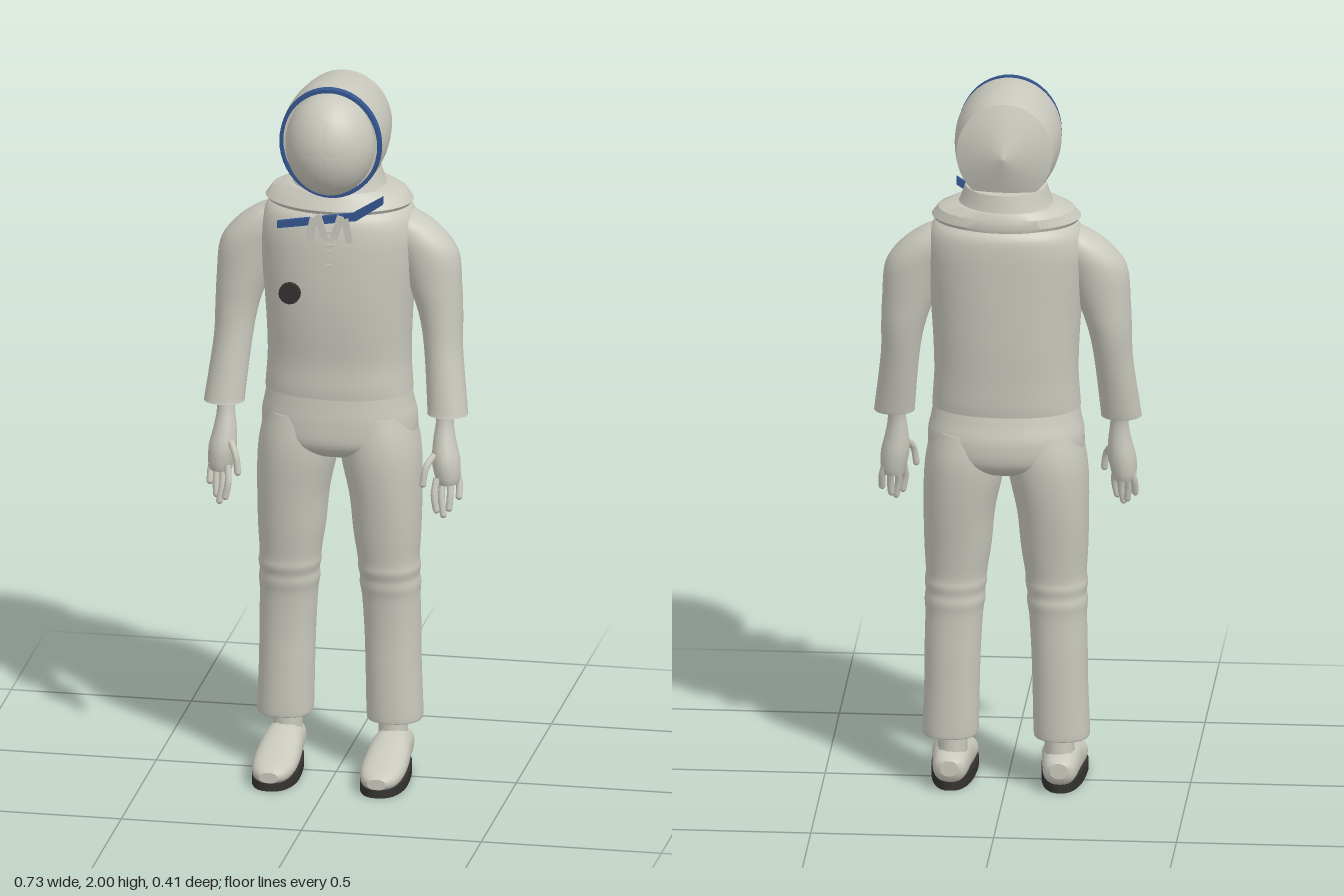
import * as THREE from 'three';
import { toCreasedNormals } from 'three/addons/utils/BufferGeometryUtils.js';

const suit = new THREE.MeshStandardMaterial({ color: 0xc9c8bd });
suit.name = 'suit fabric';
const blue = new THREE.MeshStandardMaterial({ color: 0x34568f });
blue.name = 'blue trim';
const dark = new THREE.MeshStandardMaterial({ color: 0x33322f });
dark.name = 'dark rubber';

// Catmull-Rom blend of four numbers
function blend(a, b, c, d, t) {
  const cubic = 3 * (b - c) + d - a;
  const square = 2 * a - 5 * b + 4 * c - d;
  return b + 0.5 * t * (c - a + t * (square + t * cubic));
}

// Smooth closed body through superellipse sections [y, cx, cz, rx, rz], lowest first
function loft(sections, { seg = 32, steps = 5, n = 2 } = {}) {
  const rows = [];
  const at = (i) => sections[Math.min(sections.length - 1, Math.max(0, i))];
  for (let i = 0; i < sections.length - 1; i++) {
    const [a, b, c, d] = [at(i - 1), at(i), at(i + 1), at(i + 2)];
    for (let k = 0; k < steps; k++) {
      rows.push(b.map((v, m) => blend(a[m], v, c[m], d[m], k / steps)));
    }
  }
  rows.push(at(sections.length - 1));
  const pos = [], index = [];
  const ring = ([y, cx, cz, rx, rz]) => {
    const start = pos.length / 3;
    for (let j = 0; j < seg; j++) {
      const c = Math.cos((j / seg) * 2 * Math.PI), s = Math.sin((j / seg) * 2 * Math.PI);
      pos.push(cx + rx * Math.sign(c) * Math.pow(Math.abs(c), 2 / n), y,
        cz + rz * Math.sign(s) * Math.pow(Math.abs(s), 2 / n));
    }
    return start;
  };
  const starts = rows.map(ring);
  for (let i = 0; i < rows.length - 1; i++) {
    for (let j = 0; j < seg; j++) {
      const k = (j + 1) % seg, p = starts[i], q = starts[i + 1];
      index.push(p + j, q + j, p + k, p + k, q + j, q + k);
    }
  }
  // flat end caps
  [rows[0], rows[rows.length - 1]].forEach((row, top) => {
    const s = ring(row), centre = pos.length / 3;
    pos.push(row[1], row[0], row[2]);
    for (let j = 0; j < seg; j++) {
      const k = (j + 1) % seg;
      index.push(centre, s + (top ? k : j), s + (top ? j : k));
    }
  });
  const g = new THREE.BufferGeometry();
  g.setAttribute('position', new THREE.Float32BufferAttribute(pos, 3));
  g.setIndex(index);
  g.computeVertexNormals();
  return g;
}

// Turned shape around the z axis from [radius, z] points
function turned(points, sx, sy = 1) {
  const g = new THREE.LatheGeometry(points.map(([r, z]) => new THREE.Vector2(r, z)), 48);
  return toCreasedNormals(g.rotateX(Math.PI / 2).scale(sx, sy, 1), 0.45);
}

export function createModel() {
  const model = new THREE.Group();
  const add = (name, geo, mat, parent = model) => {
    const m = new THREE.Mesh(geo, mat);
    m.name = name;
    parent.add(m);
    return m;
  };

  // Jacket and hips
  add('jacket', loft([
    [1.1, 0, -0.047, 0.203, 0.135], [1.13, 0, -0.048, 0.201, 0.138], [1.2, 0, -0.05, 0.197, 0.14],
    [1.3, 0, -0.048, 0.2, 0.149], [1.4, 0, -0.047, 0.207, 0.154], [1.5, 0, -0.049, 0.217, 0.155],
    [1.57, 0, -0.052, 0.218, 0.153], [1.62, 0, -0.055, 0.2, 0.144], [1.65, 0, -0.055, 0.16, 0.115],
  ], { seg: 48, n: 2.25 }), suit);
  add('hips', loft([
    [0.905, 0, -0.05, 0.04, 0.04], [0.925, 0, -0.052, 0.14, 0.1], [0.96, 0, -0.053, 0.205, 0.138],
    [1.02, 0, -0.054, 0.214, 0.143], [1.07, 0, -0.05, 0.205, 0.135], [1.11, 0, -0.047, 0.198, 0.128],
  ], { seg: 48, n: 2.25 }), suit);

  // Flared collar and neck
  add('collar', toCreasedNormals(loft([
    [1.635, 0, -0.051, 0.196, 0.138], [1.645, 0, -0.05, 0.204, 0.142], [1.67, 0, -0.056, 0.186, 0.134],
    [1.688, 0, -0.057, 0.145, 0.124],
  ], { seg: 48, steps: 1 }), 0.5), suit);
  add('neck', loft([[1.66, 0, -0.055, 0.15, 0.125], [1.69, 0, -0.056, 0.128, 0.118],
    [1.735, 0, -0.057, 0.112, 0.108]]), suit);

  // Helmet with pointed back, trim ring and domed visor
  const helmet = new THREE.Group();
  helmet.name = 'helmet';
  helmet.position.y = 1.842;
  model.add(helmet);
  add('helmetBack', turned([[0, -0.175], [0.142, -0.122]], 0.925), suit, helmet);
  add('helmetShell', turned([[0.142, -0.122], [0.149, -0.08], [0.155, -0.03], [0.157, 0.02],
    [0.153, 0.08], [0, 0.086]], 0.925), suit, helmet);
  add('helmetRing', turned([[0.146, 0.074], [0.158, 0.074], [0.156, 0.092], [0.146, 0.092],
    [0.146, 0.074]], 0.9), blue, helmet);
  const dome = [];
  for (let i = 0; i <= 14; i++) {
    const a = (i / 14) * Math.PI / 2;
    dome.push([Math.cos(a), 0.084 + 0.121 * Math.sin(a)]);
  }
  add('visor', turned(dome, 0.123, 0.146), suit, helmet);

  // Blue chest strap
  const strap = new THREE.Shape([[-0.145, 1.592], [0.075, 1.627], [0.148, 1.678], [0.148, 1.7],
    [0.065, 1.648], [-0.145, 1.612]].map(([x, y]) => new THREE.Vector2(x, y)));
  const strapGeo = new THREE.ExtrudeGeometry(strap, { depth: 0.012, bevelEnabled: false });
  add('strap', strapGeo.translate(0, 0, 0.089), blue);

  // Dark chest button
  const button = add('chestButton', new THREE.CylinderGeometry(0.03, 0.03, 0.014, 16), dark);
  button.position.set(-0.1, 1.425, 0.152);
  button.rotation.x = Math.PI / 2;

  // Zip teeth
  for (let i = 0; i < 6; i++) {
    add('zipTooth', new THREE.BoxGeometry(0.022 - i * 0.002, 0.008, 0.008), suit)
      .position.set(0, 1.59 - i * 0.019, 0.102 + i * 0.0008);
  }

  for (const s of [1, -1]) {
    const side = new THREE.Group();
    side.name = s > 0 ? 'leftSide' : 'rightSide';
    model.add(side);
    const limb = (name, sections, opts) =>
      add(name, loft(sections.map(([y, x, ...r]) => [y, s * x, ...r]), opts), suit, side);

    // Neck flaps
    for (const [x, y, tilt] of [[0.022, 1.605, -0.3], [0.05, 1.597, 0.2]]) {
      const flap = add('neckFlap', new THREE.BoxGeometry(0.02, 0.07, 0.009), suit, side);
      flap.position.set(s * x, y, 0.1);
      flap.rotation.z = s * tilt;
    }

    // Sleeve
    limb('sleeve', [
      [1.055, 0.31, 0.004, 0.056, 0.051], [1.08, 0.308, -0.002, 0.055, 0.052],
      [1.23, 0.292, -0.032, 0.053, 0.058], [1.32, 0.283, -0.044, 0.06, 0.064],
      [1.4, 0.268, -0.047, 0.072, 0.068], [1.5, 0.243, -0.05, 0.088, 0.072],
      [1.56, 0.205, -0.052, 0.085, 0.07], [1.6, 0.175, -0.053, 0.062, 0.058],
      [1.622, 0.16, -0.054, 0.025, 0.03],
    ]);

    // Hand with thumb and fingers
    limb('palm', [
      [0.865, 0.315, 0.028, 0.03, 0.036], [0.885, 0.315, 0.028, 0.035, 0.042],
      [0.93, 0.31, 0.026, 0.039, 0.045], [0.98, 0.305, 0.02, 0.032, 0.036],
      [1.03, 0.304, 0.012, 0.025, 0.027], [1.07, 0.307, 0.005, 0.027, 0.029],
    ], { seg: 16, steps: 3 });
    const digits = [
      ['thumb', [0.282, 0.95, 0.052], [0.264, 0.92, 0.078], [0.257, 0.875, 0.086]],
      ['finger', [0.29, 0.885, 0.058], [0.286, 0.84, 0.074], [0.293, 0.8, 0.078]],
      ['finger', [0.305, 0.88, 0.045], [0.304, 0.83, 0.062], [0.311, 0.785, 0.07]],
      ['finger', [0.322, 0.88, 0.028], [0.325, 0.835, 0.044], [0.323, 0.798, 0.052]],
      ['finger', [0.338, 0.89, 0.008], [0.345, 0.86, 0.014], [0.346, 0.825, 0.026]],
    ];
    for (const [name, ...pts] of digits) {
      const path = new THREE.CatmullRomCurve3(pts.map(([x, y, z]) => new THREE.Vector3(s * x, y, z)));
      add(name, new THREE.TubeGeometry(path, 8, 0.0095, 8), suit, side);
      add(name + 'Tip', new THREE.SphereGeometry(0.0095, 8, 6), suit, side).position.copy(path.getPoint(1));
    }

    // Trouser leg with knee folds
    limb('trouserLeg', [
      [0.155, 0.152, -0.058, 0.073, 0.074], [0.165, 0.152, -0.058, 0.077, 0.078],
      [0.3, 0.148, -0.059, 0.076, 0.079], [0.4, 0.146, -0.06, 0.077, 0.08],
      [0.5, 0.142, -0.057, 0.079, 0.084], [0.54, 0.14, -0.055, 0.083, 0.09],
      [0.565, 0.139, -0.053, 0.081, 0.09], [0.59, 0.138, -0.051, 0.085, 0.095],
      [0.62, 0.136, -0.05, 0.084, 0.095], [0.7, 0.132, -0.05, 0.092, 0.107],
      [0.8, 0.128, -0.052, 0.098, 0.122], [0.9, 0.117, -0.053, 0.108, 0.134],
      [0.97, 0.109, -0.054, 0.108, 0.135], [1.04, 0.1, -0.053, 0.1, 0.125],
    ], { n: 2.2 });

    // Ankle, shoe upper and sole
    limb('ankle', [[0.08, 0.147, -0.06, 0.042, 0.05], [0.2, 0.145, -0.06, 0.039, 0.045]],
      { seg: 10, steps: 1 });
    const upper = loft([
      [-0.14, -0.07, 0.024, 0.022], [-0.125, -0.064, 0.042, 0.037], [-0.08, -0.067, 0.05, 0.05],
      [-0.02, -0.069, 0.055, 0.055], [0.05, -0.058, 0.061, 0.044], [0.12, -0.046, 0.06, 0.033],
      [0.17, -0.04, 0.048, 0.026], [0.198, -0.038, 0.026, 0.015],
    ].map(([z, y, w, h]) => [z, s * 0.15, y, w, h]), { seg: 24, steps: 3, n: 2.3 });
    add('shoe', upper.rotateX(Math.PI / 2), suit, side);
    const sole = loft([[0, s * 0.15, 0.04, 0.066, 0.16], [0.032, s * 0.15, 0.04, 0.066, 0.158]],
      { steps: 1, n: 2.5 });
    const p = sole.attributes.position;
    for (let i = 0; i < p.count; i++) {
      const z = p.getZ(i); // narrower heel, thinner toe
      p.setX(i, s * 0.15 + (p.getX(i) - s * 0.15) * (0.9 + 0.9 * Math.min(z, 0.11)));
      p.setY(i, p.getY(i) * (1 - 1.6 * Math.max(z, 0)));
    }
    sole.computeVertexNormals();
    add('sole', sole, dark, side);
  }
  return model;
}
